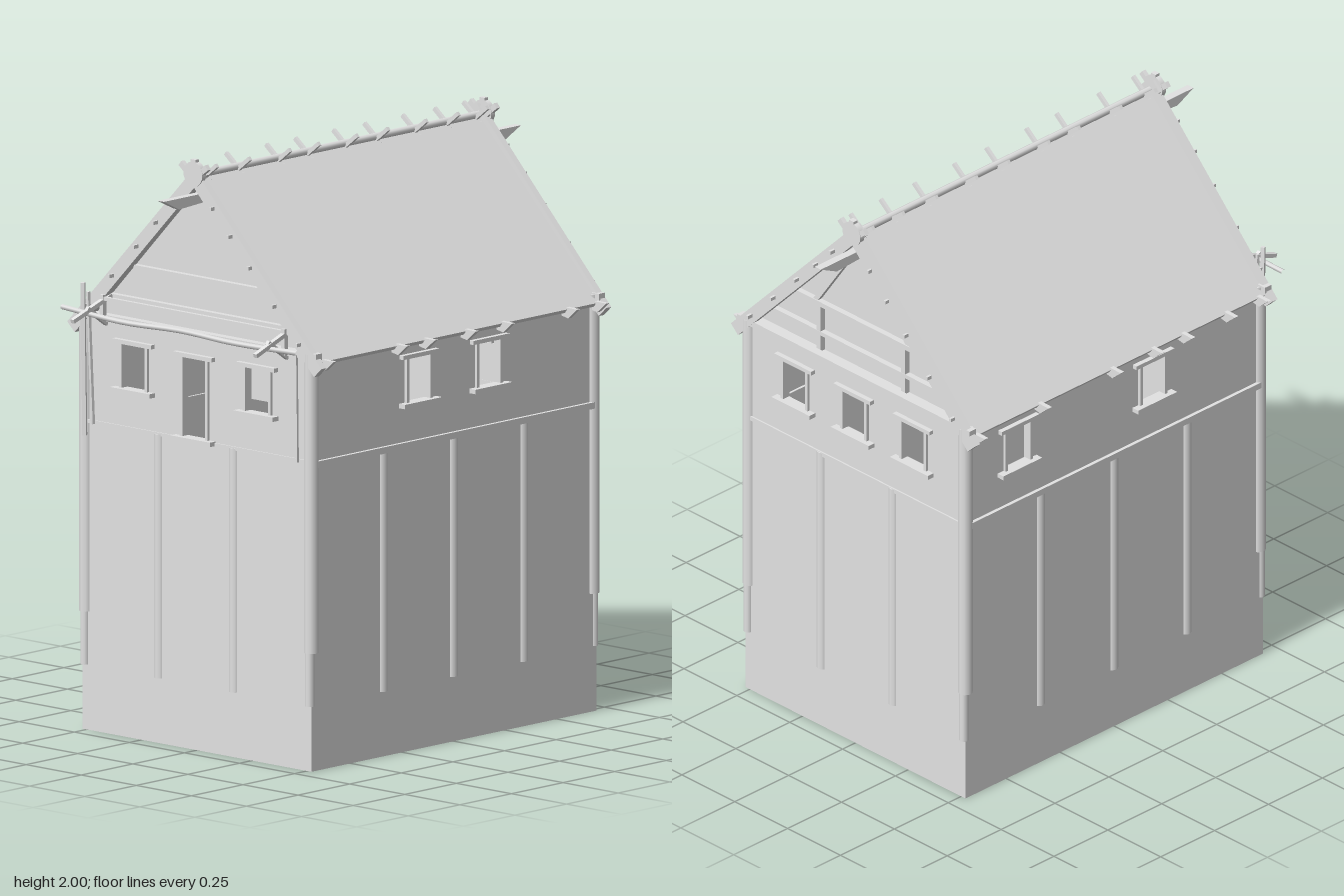
import * as THREE from 'three';

export function createModel() {
  const model = new THREE.Group();
  const grey = new THREE.MeshStandardMaterial({ color: 0xe2e2e2 });
  grey.name = 'plain grey';

  const add = (name, geo, x = 0, y = 0, z = 0, parent = model) => {
    const m = new THREE.Mesh(geo, grey);
    m.name = name;
    m.position.set(x, y, z);
    parent.add(m);
    return m;
  };
  const box = (name, w, h, d, x, y, z, parent) =>
    add(name, new THREE.BoxGeometry(w, h, d), x, y, z, parent);
  // squared timber from a to b, in the parent's own frame
  const up = new THREE.Vector3(0, 1, 0);
  const beam = (name, a, b, w, h, parent) => {
    const A = new THREE.Vector3(...a), B = new THREE.Vector3(...b);
    const m = box(name, w, h, A.distanceTo(B), 0, 0, 0, parent);
    m.position.copy(A).add(B).multiplyScalar(0.5);
    m.quaternion.setFromRotationMatrix(new THREE.Matrix4().lookAt(B, A, up));
  };
  // round upright post
  const post = (name, r, y0, y1, x, z) =>
    add(name, new THREE.CylinderGeometry(r, r, y1 - y0, 10), x, (y0 + y1) / 2, z);
  const polygon = pts => new THREE.Shape(pts.map(p => new THREE.Vector2(...p)));
  const slab = (shape, depth) =>
    new THREE.ExtrudeGeometry(shape, { depth, bevelEnabled: false });

  // thin wall with cut openings and timber frames; local +z is outward
  const T = 0.004;
  const wall = (name, width, openings) => {
    const g = new THREE.Group();
    g.name = name;
    const s = polygon([[-width / 2, 0], [width / 2, 0], [width / 2, 1.4], [-width / 2, 1.4]]);
    for (const [x, y0, y1, w] of openings) {
      const a = x - w / 2, b = x + w / 2;
      s.holes.push(new THREE.Path([[a, y0], [a, y1], [b, y1], [b, y0]].map(p => new THREE.Vector2(...p))));
      box('sill', 0.18, 0.015, 0.045, x, y0 - 0.007, 0.005, g);
      box('lintel', w + 0.06, 0.014, 0.035, x, y1 + 0.007, 0, g);
      for (const e of [a, b]) box('jamb', 0.012, y1 - y0, 0.03, e, (y0 + y1) / 2, -0.005, g);
    }
    add('wallPanel', slab(s, T), 0, 0, -T, g);
    model.add(g);
    return g;
  };
  const win = x => [x, 1.18, 1.33, 0.115];
  const X = 0.52, Z = 0.69;
  wall('frontWall', X * 2, [win(-0.28), [-0.005, 1.055, 1.325, 0.115], win(0.28)]).position.z = Z;
  const back = wall('backWall', X * 2, [win(-0.28), win(0), win(0.28)]);
  back.position.z = -Z;
  back.rotation.y = Math.PI;
  const left = wall('leftWall', Z * 2, [win(-0.175), win(0.165)]);
  left.position.x = X;
  left.rotation.y = Math.PI / 2;
  const right = wall('rightWall', Z * 2, [win(-0.45), win(0.175)]);
  right.position.x = -X;
  right.rotation.y = -Math.PI / 2;

  // inner partitions beside the passage
  for (const s of [-1, 1]) box('partition', 0.37, 0.37, 0.01, s * 0.315, 1.215, 0);

  // posts straddling the walls, rails and wall plates
  for (const s of [-1, 1]) {
    for (const z of [-0.34, 0, 0.34]) post('sidePost', 0.021, 0.22, 1.035, s * 0.51, z);
    for (const x of [-0.175, 0.165]) post('gablePost', 0.021, 0.22, 1.045, x, s * 0.68);
    for (const t of [-1, 1]) {
      post('cornerPost', 0.025, 0.4, 1.41, s * 0.51, t * 0.68);
      post('lowerCornerPost', 0.016, 0.22, 0.42, s * 0.51, t * 0.687);
    }
    box('sideRail', 0.025, 0.022, 1.36, s * X, 1.037, 0);
    box('sideWallPlate', 0.018, 0.02, 1.38, s * 0.518, 1.38, 0);
    box('tieBeam', 1.1, 0.022, 0.03, 0, 1.405, s * 0.685);
  }
  box('backRail', 1.0, 0.015, 0.012, 0, 1.04, -Z);
  box('frontRailLeft', 0.42, 0.012, 0.01, 0.29, 1.045, Z);
  box('frontRailRight', 0.42, 0.012, 0.01, -0.29, 1.045, Z);

  // roof covering as one folded slab
  add('roof', slab(polygon([[-0.545, 1.385], [0, 1.945], [0.545, 1.385], [0.535, 1.372], [0, 1.922], [-0.535, 1.372]]), 1.38), 0, 0, -0.69);

  // gables: recessed panel, framing, verge boards, pegs and ridge ornament
  for (const s of [-1, 1]) {
    const g = new THREE.Group();
    g.name = s > 0 ? 'frontGable' : 'backGable';
    g.rotation.y = s > 0 ? 0 : Math.PI;
    model.add(g);
    add('gablePanel', slab(polygon([[-0.51, 1.39], [0.51, 1.39], [0, 1.925]]), 0.01), 0, 0, 0.635, g);
    box('collarBeam', 0.62, 0.018, 0.022, 0, 1.585, 0.655, g);
    box('lowerCollar', 0.84, 0.014, 0.022, 0, 1.475, 0.655, g);
    box('gableLedge', 1.02, 0.012, 0.05, 0, 1.4, 0.665, g);
    for (const t of [-1, 1]) {
      if (s < 0) {
        box('gableStud', 0.018, 0.18, 0.02, t * 0.2, 1.49, 0.655, g);
        beam('gableBrace', [t * 0.22, 1.59, 0.652], [t * 0.04, 1.85, 0.652], 0.02, 0.018, g);
      }
      beam('vergeBoard', [t * 0.56, 1.355, 0.69], [-t * 0.025, 1.965, 0.69 + t * 0.003], 0.025, 0.046, g);
      beam('crossedTip', [0, 1.93, 0.7], [t * 0.06, 1.98, 0.7], 0.016, 0.02, g);
      for (const x of [0.09, 0.17, 0.26, 0.37, 0.48])
        box('vergePeg', 0.009, 0.012, 0.045, t * x, 1.94 - x * 1.04, 0.7, g);
    }
    const disc = add('ridgeDisc', new THREE.CylinderGeometry(0.043, 0.043, 0.018, 14), 0, 1.95, 0.7, g);
    disc.rotation.x = Math.PI / 2;
    box('ridgeNub', 0.022, 0.03, 0.018, 0, 1.985, 0.7, g);
    // pointed beam end, profile drawn along the ridge direction
    const horn = add('ridgeHorn',
      slab(polygon([[-0.62, 1.855], [-0.79, 1.845], [-0.865, 1.882], [-0.62, 1.882]]), 0.028), -0.014, 0, 0, g);
    horn.rotation.y = Math.PI / 2;
  }

  // ridge pole with crossing pegs
  const ridge = add('ridgePole', new THREE.CylinderGeometry(0.013, 0.013, 1.4, 8), 0, 1.945, 0);
  ridge.rotation.x = Math.PI / 2;
  for (const z of [-0.66, -0.52, -0.365, -0.18, -0.03, 0.155, 0.295, 0.49, 0.65])
    for (const t of [-1, 1])
      beam('ridgePeg', [-t * 0.015, 1.92, z + t * 0.006], [t * 0.06, 1.98, z + t * 0.006], 0.012, 0.014);

  // rafter tails poking out at the eaves
  const tail = slab(polygon([[0.5, 1.365], [0.55, 1.355], [0.59, 1.39], [0.5, 1.392]]), 0.016);
  const eaves = [[1, [-0.67, -0.53, -0.215, -0.04, 0.16, 0.295, 0.65]], [-1, [-0.66, -0.365, -0.03, 0.16, 0.3, 0.5, 0.65]]];
  for (const [s, zs] of eaves)
    for (const z of zs) {
      const m = add('rafterTail', tail, 0, 0, z + s * -0.008);
      if (s < 0) m.rotation.y = Math.PI;
    }

  // front rack: two bracketed arms carrying a slightly bowed pole
  for (const s of [-1, 1]) {
    beam('rackArm', [s * 0.41, 1.478, 0.67], [s * 0.415, 1.415, 0.85], 0.016, 0.014);
    beam('rackBracket', [s * 0.41, 1.385, 0.69], [s * 0.41, 1.45, 0.785], 0.014, 0.014);
    box('rackUpright', 0.016, 0.09, 0.016, s * 0.412, 1.44, 0.705);
  }
  const bow = new THREE.CatmullRomCurve3([
    [-0.54, 1.435, 0.765], [-0.25, 1.425, 0.78], [0, 1.43, 0.77], [0.25, 1.425, 0.78], [0.535, 1.43, 0.775],
  ].map(p => new THREE.Vector3(...p)));
  add('rackPole', new THREE.TubeGeometry(bow, 20, 0.009, 6));
  box('rackRail', 0.84, 0.012, 0.014, 0, 1.473, 0.705);

  // sticks leaning at the front corners
  beam('hangingStick', [-0.49, 1.0, 0.71], [-0.48, 1.52, 0.73], 0.014, 0.012);
  beam('hangingStick', [-0.462, 1.04, 0.7], [-0.465, 1.49, 0.72], 0.01, 0.01);
  beam('hangingStick', [0.465, 1.04, 0.7], [0.46, 1.4, 0.7], 0.008, 0.008);

  return model;
}
